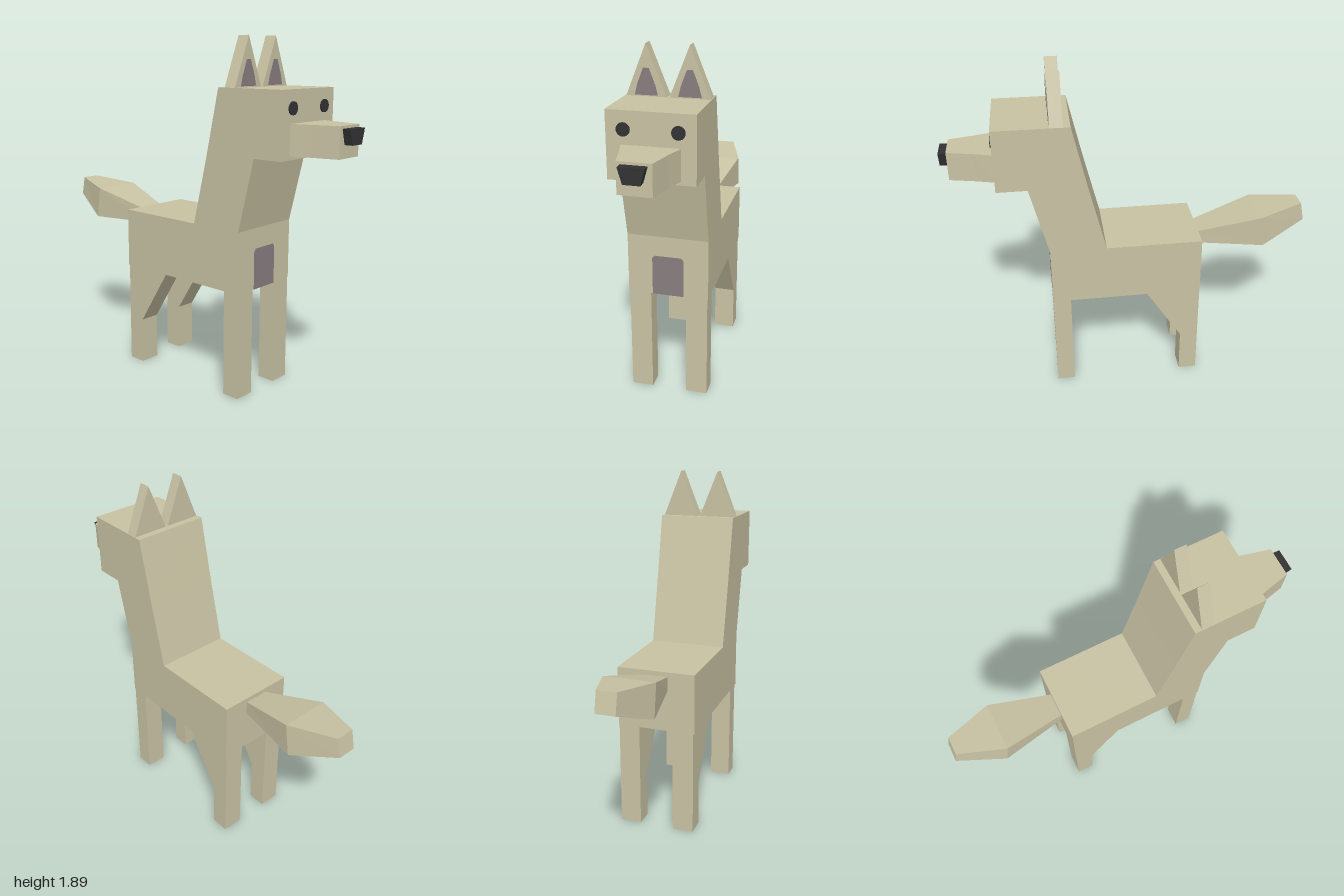
import * as THREE from 'three';

const mat = (name, color) => {
  const m = new THREE.MeshStandardMaterial({ color });
  m.name = name;
  return m;
};

export function createModel() {
  const group = new THREE.Group();
  const fur = mat('tan fur', 0xc8c2a3);
  const mauve = mat('mauve patch', 0x887d80);
  const dark = mat('charcoal', 0x323234);

  const add = (name, geometry, material) => {
    const mesh = new THREE.Mesh(geometry, material);
    mesh.name = name;
    group.add(mesh);
    return mesh;
  };
  const shapeOf = (pts) => new THREE.Shape(pts.map(([a, b]) => new THREE.Vector2(a, b)));
  const extrude = (pts, depth) =>
    new THREE.ExtrudeGeometry(shapeOf(pts), { depth, bevelEnabled: false });

  // Outline in (z, y), extruded sideways from x0 to x1
  const sideSlab = (pts, x0, x1) => extrude(pts, x1 - x0).rotateY(-Math.PI / 2).translate(x1, 0, 0);
  // Outline in (x, y), extruded forwards from z0 to z1
  const frontSlab = (pts, z0, z1) => extrude(pts, z1 - z0).translate(0, 0, z0);

  // Rectangular loft; each section is [half width, bottom y, bottom z, top y, top z], running to -z
  const loft = (sections) => {
    const pos = [], idx = [];
    for (const [w, yb, zb, yt, zt] of sections) pos.push(-w, yb, zb, w, yb, zb, w, yt, zt, -w, yt, zt);
    for (let s = 0; s < sections.length - 1; s++) {
      for (let i = 0; i < 4; i++) {
        const a = s * 4 + i, b = s * 4 + (i + 1) % 4;
        idx.push(a, a + 4, b, b, a + 4, b + 4);
      }
    }
    const e = (sections.length - 1) * 4;
    idx.push(0, 1, 2, 0, 2, 3, e, e + 2, e + 1, e, e + 3, e + 2);
    const g = new THREE.BufferGeometry();
    g.setAttribute('position', new THREE.Float32BufferAttribute(pos, 3));
    g.setIndex(idx);
    const flat = g.toNonIndexed();
    flat.computeVertexNormals();
    return flat;
  };

  // Torso, neck and head share one side outline
  add('body', sideSlab([
    [0.465, 0.58], [0.465, 0.91], [0.558, 1.295], [0.72, 1.295], [0.72, 1.632],
    [0.325, 1.632], [0.247, 1.28], [0.158, 0.91], [-0.37, 0.91], [-0.37, 0.58],
  ], -0.217, 0.215), fur);

  // Underside and chest markings
  add('belly', new THREE.PlaneGeometry(0.432, 0.835).rotateX(Math.PI / 2).translate(-0.001, 0.578, 0.0475), mauve);
  add('chestPatch', frontSlab([
    [-0.085, 0.579], [0.083, 0.579], [0.083, 0.785], [0.07, 0.8], [-0.072, 0.8], [-0.085, 0.785],
  ], 0.464, 0.467), mauve);

  // Muzzle tapering forwards, outlined in plan
  add('muzzle', extrude([
    [-0.147, 0.715], [0.143, 0.715], [0.112, 0.82], [0.08, 0.957], [-0.085, 0.957], [-0.117, 0.82],
  ], 0.155).rotateX(Math.PI / 2).translate(0, 1.47, 0), fur);
  add('nose', frontSlab([
    [-0.043, 1.38], [0.038, 1.38], [0.06, 1.457], [-0.065, 1.457],
  ], 0.955, 1), dark);

  const front = [[0.465, 0], [0.465, 0.58], [0.367, 0.58], [0.367, 0]];
  const hind = [[-0.37, 0], [-0.268, 0], [-0.268, 0.26], [-0.065, 0.58], [-0.37, 0.58]];

  for (const [side, s] of [['left', 1], ['right', -1]]) {
    // Legs
    const [x0, x1] = s > 0 ? [0.095, 0.211] : [-0.211, -0.095];
    add(side + 'FrontLeg', sideSlab(front, x0, x1), fur);
    add(side + 'HindLeg', sideSlab(hind, x0, x1), fur);

    // Ears with a thin inner patch
    const cx = s * 0.109;
    add(side + 'Ear', frontSlab([
      [cx - 0.103, 1.63], [cx + 0.103, 1.63], [cx, 1.887],
    ], 0.363, 0.43), fur);
    add(side + 'InnerEar', frontSlab([
      [cx - 0.058, 1.638], [cx + 0.058, 1.638], [cx + 0.045, 1.69],
      [cx + 0.014, 1.77], [cx - 0.014, 1.77], [cx - 0.045, 1.69],
    ], 0.428, 0.433), mauve);

    // Eyes
    add(side + 'Eye', new THREE.CylinderGeometry(0.033, 0.033, 0.009, 20)
      .rotateX(Math.PI / 2).translate(s * 0.131, 1.543, 0.7235), dark);
  }

  // Tail widening, then narrowing to a blunt tip
  add('tail', loft([
    [0.068, 0.81, -0.365, 0.883, -0.365],
    [0.138, 0.802, -0.745, 0.982, -0.718],
    [0.052, 0.905, -1, 1.012, -0.977],
  ]), fur);

  return group;
}
